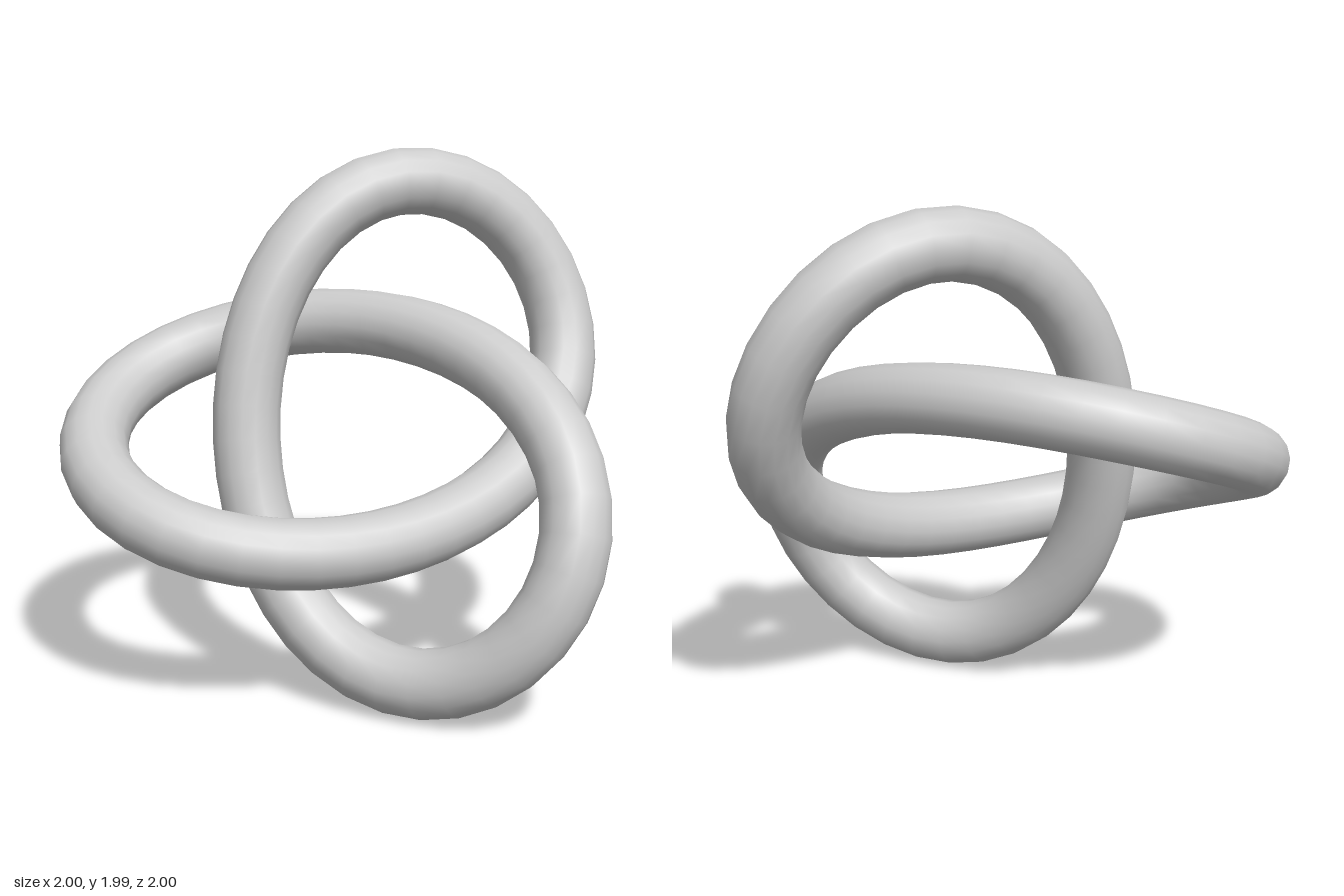
import * as THREE from 'three';

// Closed trefoil centreline: the same wave on each axis, a third of a turn apart,
// so the three lobes wind about the (1, 1, 1) diagonal.
class TrefoilCurve extends THREE.Curve {
  getPoint(t, target = new THREE.Vector3()) {
    const wave = (a) => 0.233 * Math.sin(a) + 0.604 * Math.sin(2 * a) + 0.142 * Math.sin(3 * a);
    const a = t * Math.PI * 2;
    const third = (Math.PI * 2) / 3;
    // The left-hand lobe hangs slightly lower than the other two
    const sag = 0.02 + 0.02 * Math.cos(a + third / 2);
    return target.set(wave(a), 1 + wave(a - third) - sag, wave(a + third));
  }
}

export function createModel() {
  const group = new THREE.Group();
  group.name = 'trefoilKnot';

  // Round tube swept along the knot
  const tube = new THREE.Mesh(
    new THREE.TubeGeometry(new TrefoilCurve(), 80, 0.128, 16, true),
    new THREE.MeshStandardMaterial({ color: 0xcccccc })
  );
  tube.name = 'knotTube';
  group.add(tube);

  return group;
}
